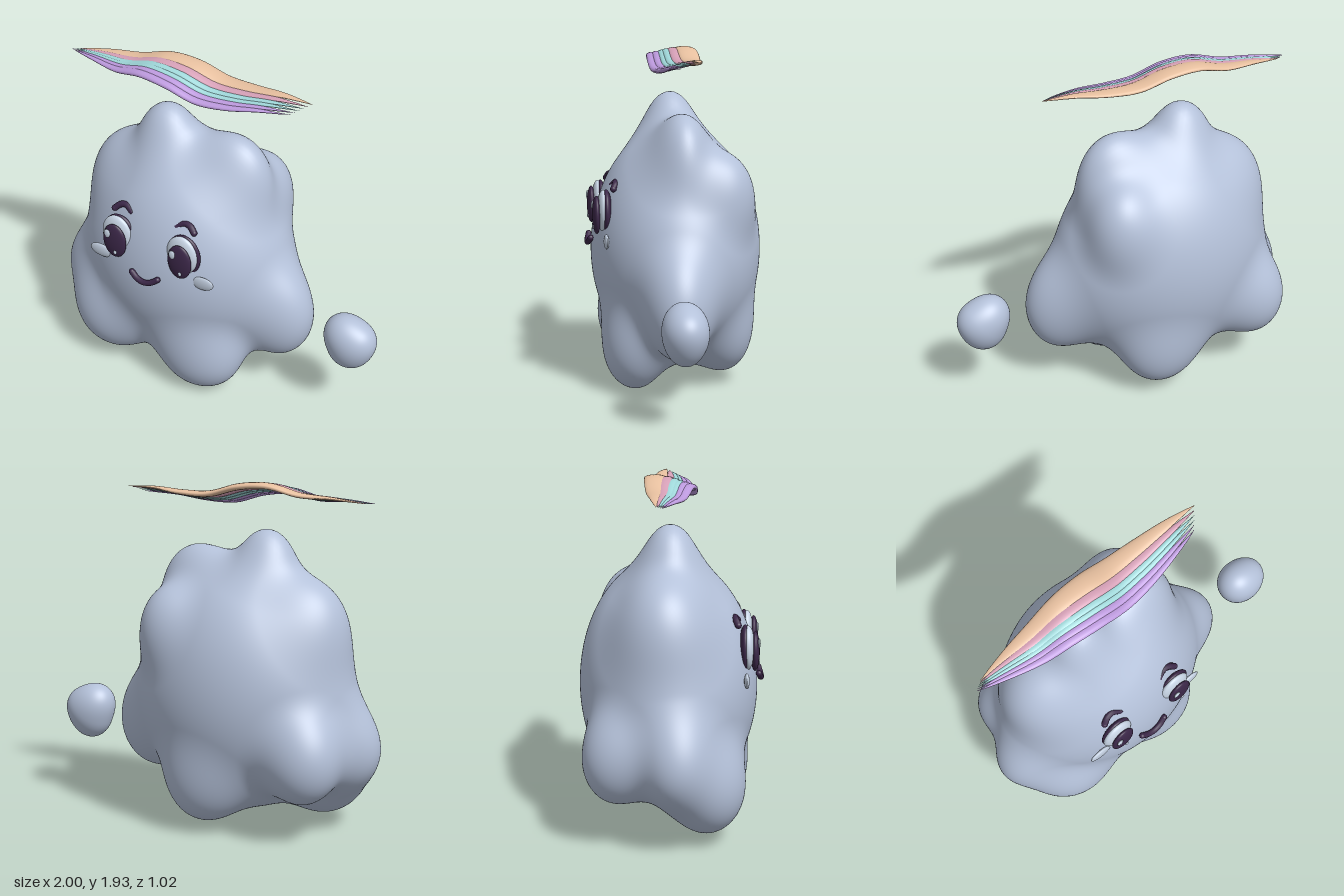
import * as THREE from 'three';
import { mergeVertices } from 'three/addons/utils/BufferGeometryUtils.js';

const mat = (name, color, side = THREE.FrontSide) => {
  const m = new THREE.MeshStandardMaterial({ color, side });
  m.name = name;
  return m;
};

// Smoothly blended ellipsoids, each [x, y, z, rx, ry, rz]
function fieldAt(p, blobs, k) {
  let d = Infinity;
  for (const [x, y, z, rx, ry, rz] of blobs) {
    const a = (p.x - x) / rx, b = (p.y - y) / ry, c = (p.z - z) / rz;
    const k0 = Math.hypot(a, b, c), k1 = Math.hypot(a / rx, b / ry, c / rz) || 1;
    const e = k0 * (k0 - 1) / k1;
    if (d === Infinity) { d = e; continue; }
    const h = Math.max(k - Math.abs(d - e), 0) / k;
    d = Math.min(d, e) - h * h * k / 4;
  }
  return d;
}

function weld(geo) {
  geo.deleteAttribute('uv');
  geo.deleteAttribute('normal');
  const g = mergeVertices(geo, 1e-5);
  g.computeVertexNormals();
  return g;
}

// Shrink-wraps a sphere around the blended ellipsoids
function blobGeometry(blobs, centre, reach, k, detail) {
  const geo = weld(new THREE.IcosahedronGeometry(1, detail));
  const pos = geo.attributes.position;
  const dir = new THREE.Vector3(), p = new THREE.Vector3();
  for (let i = 0; i < pos.count; i++) {
    dir.fromBufferAttribute(pos, i).normalize();
    let outer = reach;
    const step = reach / 60;
    while (outer > step && fieldAt(p.copy(centre).addScaledVector(dir, outer), blobs, k) > 0) outer -= step;
    let lo = outer, hi = outer + step;
    for (let n = 0; n < 14; n++) {
      const mid = (lo + hi) / 2;
      if (fieldAt(p.copy(centre).addScaledVector(dir, mid), blobs, k) > 0) hi = mid; else lo = mid;
    }
    p.copy(centre).addScaledVector(dir, lo);
    pos.setXYZ(i, p.x, p.y, p.z);
  }
  geo.computeVertexNormals();
  return geo;
}

// Height of the wavy centre line shared by the floating ribbons, at even steps
const wave = new THREE.CatmullRomCurve3(
  [1.845, 1.857, 1.863, 1.9, 1.888, 1.842, 1.843, 1.862, 1.866]
    .map((y, i) => new THREE.Vector3(-0.95 + 0.18 * i, y, 0)));

// Tapered ribbon with an elliptical section
function ribbonGeometry({ x0, x1, z0, z1, zMid, lift, w, h }) {
  const geo = new THREE.CylinderGeometry(1, 1, 2, 16, 64, true);
  const pos = geo.attributes.position;
  for (let i = 0; i < pos.count; i++) {
    const u = (pos.getY(i) + 1) / 2, s = pos.getX(i), c = pos.getZ(i);
    const env = Math.max(Math.sin(Math.PI * u), 0) ** 0.85;
    const size = Math.max(env, 0.03);
    const ends = THREE.MathUtils.lerp(z0, z1, u);
    pos.setXYZ(i,
      THREE.MathUtils.lerp(x0, x1, u),
      wave.getPoint(u).y + lift * (0.8 * u + 0.55 * env) - s * h * size,
      ends + (zMid - (z0 + z1) / 2) * env + c * w * size);
  }
  return weld(geo);
}

export function createModel() {
  const group = new THREE.Group();
  const cloud = mat('cloud blue', 0xb4c1d9);
  const white = mat('eye white', 0xc9d6e6);
  const dark = mat('dark plum', 0x3b2748);
  const cheek = mat('cheek', 0xbfcbdc);
  const peach = mat('peach', 0xebc3a2, THREE.DoubleSide);
  const pink = mat('pink', 0xd6a0b7, THREE.DoubleSide);
  const teal = mat('teal', 0xa0d8da, THREE.DoubleSide);
  const purple = mat('lilac', 0xbd9ade, THREE.DoubleSide);

  const add = (name, geo, material) => {
    const m = new THREE.Mesh(geo, material);
    m.name = name;
    group.add(m);
    return m;
  };
  const ellipsoid = (name, material, x, y, z, rx, ry, rz) => {
    const m = add(name, new THREE.SphereGeometry(1, 32, 20), material);
    m.position.set(x, y, z);
    m.scale.set(rx, ry, rz);
    return m;
  };
  const stroke = (name, points, r) => {
    const curve = new THREE.CatmullRomCurve3(points.map(p => new THREE.Vector3(...p)));
    add(name, new THREE.TubeGeometry(curve, 24, r, 10), dark);
    for (const p of [points[0], points[points.length - 1]]) ellipsoid(name + 'End', dark, ...p, r, r, r);
  };

  // Lumpy cloud body
  add('body', blobGeometry([
    [-0.22, 0.8, -0.016, 0.59, 0.69, 0.486],  // core
    [-0.22, 0.7, 0, 0.65, 0.5, 0.38],         // belly
    [-0.34, 1.36, 0, 0.195, 0.318, 0.17],     // peak
    [0.055, 1.31, -0.02, 0.225, 0.268, 0.155], // second peak
    [-0.6, 1.13, -0.02, 0.22, 0.275, 0.21],   // shoulder
    [0.37, 0.535, 0.04, 0.222, 0.28, 0.18],   // side lobes
    [-0.76, 0.485, 0.05, 0.24, 0.25, 0.2],
    [-0.6, 0.315, 0.2, 0.265, 0.258, 0.21],   // front feet
    [-0.02, 0.262, 0.245, 0.262, 0.258, 0.183],
    [-0.1, 0.31, -0.27, 0.22, 0.24, 0.17],    // back feet
    [-0.68, 0.48, -0.27, 0.2, 0.24, 0.185],
    [0.13, 1.13, -0.25, 0.155, 0.21, 0.15],   // back bump
  ], new THREE.Vector3(-0.22, 0.7, 0), 1.2, 0.155, 40), cloud);

  // Small loose puff
  add('puff', blobGeometry([
    [0.857, 0.54, 0.07, 0.142, 0.122, 0.118],
    [0.845, 0.475, 0.07, 0.123, 0.125, 0.103],
    [0.8, 0.577, 0.07, 0.095, 0.095, 0.09],
  ], new THREE.Vector3(0.85, 0.53, 0.07), 0.3, 0.06, 16), cloud);

  // Face, mirrored about x = -0.23
  const faceX = -0.23;
  for (const s of [-1, 1]) {
    const x = faceX + s * 0.207;
    ellipsoid('eyeRim', dark, x + 0.004, 1.025, 0.402, 0.1, 0.128, 0.032);
    ellipsoid('eyeWhite', white, x - 0.002, 1.03, 0.418, 0.094, 0.12, 0.036);
    ellipsoid('pupil', dark, x + 0.004, 1.01, 0.457, 0.073, 0.108, 0.025);
    ellipsoid('eyeGlint', white, x - 0.031, 1.06, 0.477, 0.02, 0.027, 0.008);
    ellipsoid('smallGlint', white, x + 0.016, 0.945, 0.478, 0.01, 0.013, 0.006);
    const c = ellipsoid('cheek', cheek, faceX + s * 0.327, 0.875, 0.412, 0.07, 0.041, 0.015);
    c.rotation.z = s * 0.1;
    stroke('eyebrow', [[-0.055, 1.16, 0.365], [-0.025, 1.185, 0.352], [0.012, 1.191, 0.348], [0.055, 1.168, 0.362]]
      .map(([dx, y, z]) => [faceX + s * (0.197 - dx), y, z]), 0.018);
  }
  stroke('mouth', [-0.082, -0.045, 0, 0.045, 0.082]
    .map(d => [faceX + d, 0.82 + 5.5 * d * d, 0.496 - 2 * d * d]), 0.017);

  // Floating wavy ribbons, back to front
  [
    ['peachRibbon', peach, -0.083, 0.06, 0.019],
    ['pinkRibbon', pink, -0.02, 0.042, 0.019],
    ['tealRibbon', teal, 0.018, 0.034, 0.019],
    ['lowerTealRibbon', teal, 0.045, 0.03, 0.019],
    ['lilacRibbon', purple, 0.078, 0.03, 0.019],
    ['lowerLilacRibbon', purple, 0.108, 0.034, 0.019],
  ].forEach(([name, material, zMid, w, h], i) => {
    const t = i / 5;
    add(name, ribbonGeometry({
      x0: -0.92 - 0.05 * t, x1: 0.5 - 0.08 * t,
      z0: -0.05 + 0.03 * t, z1: -0.05 + 0.09 * t,
      zMid, lift: 0.022 - 0.044 * t, w, h,
    }), material);
  });

  return group;
}
